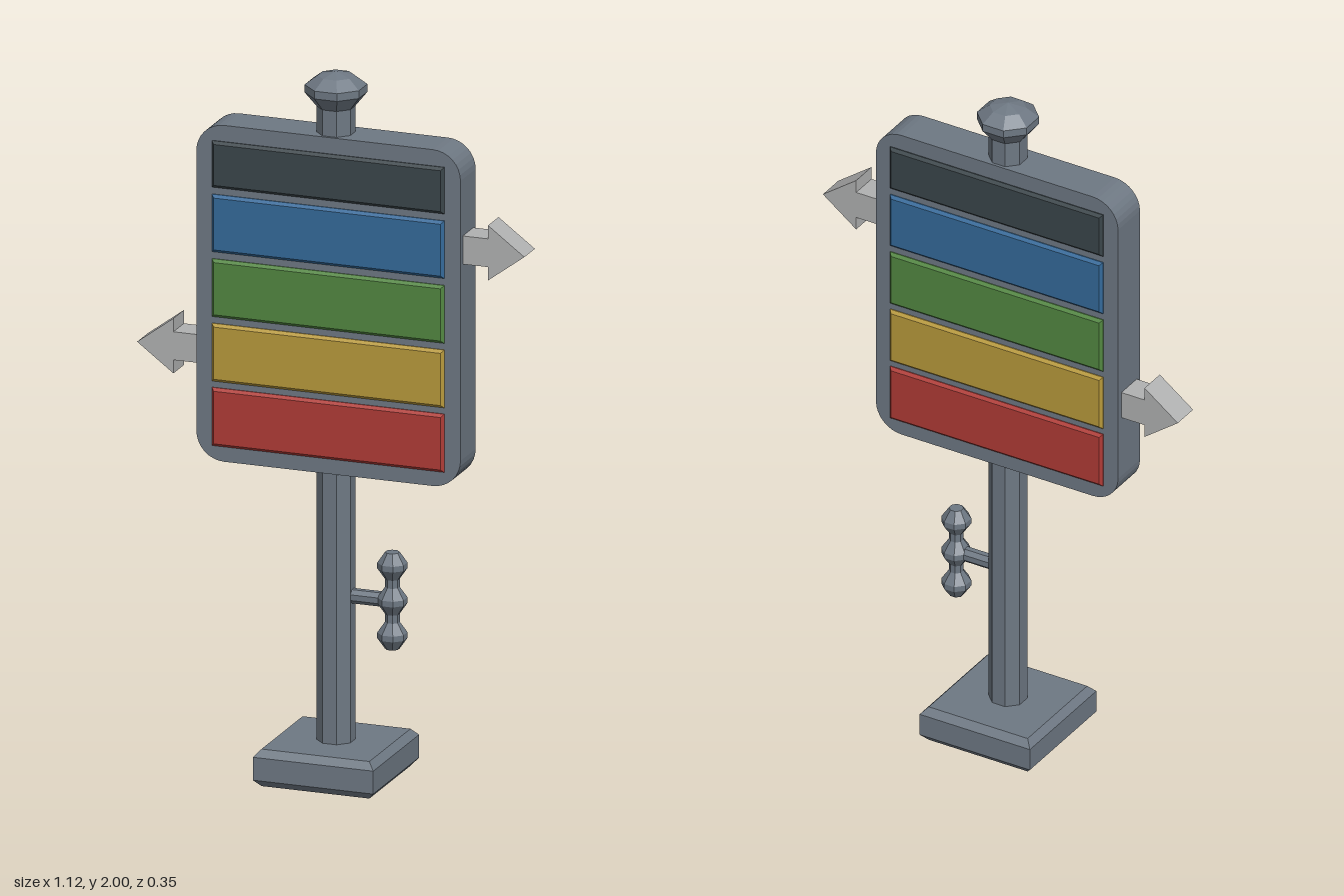
import * as THREE from 'three';

const mat = (name, color) => {
  const m = new THREE.MeshStandardMaterial({ color });
  m.name = name;
  return m;
};

export function createModel() {
  const model = new THREE.Group();
  model.name = 'signPost';
  const metal = mat('slateMetal', 0x6e7883);
  const arrowGrey = mat('lightGrey', 0xb0b1b1);

  const add = (name, geometry, material, x = 0, y = 0, z = 0) => {
    const mesh = new THREE.Mesh(geometry, material);
    mesh.name = name;
    mesh.position.set(x, y, z);
    model.add(mesh);
    return mesh;
  };

  // Faceted eight-sided turned part from [radius, height] pairs
  const turned = (profile) => {
    const points = profile.map(([r, y]) => new THREE.Vector2(r, y));
    const g = new THREE.LatheGeometry(points, 8, Math.PI / 8).toNonIndexed();
    g.computeVertexNormals();
    return g;
  };

  // Shape extruded symmetrically about z = 0, chamfered at both ends
  const slab = (shape, depth, bevel = 0, bevelDepth = bevel) => {
    const g = new THREE.ExtrudeGeometry(shape, {
      depth: depth - 2 * bevelDepth, curveSegments: 4, bevelEnabled: bevel > 0,
      bevelSize: bevel, bevelOffset: -bevel, bevelThickness: bevelDepth, bevelSegments: 1,
    });
    return g.translate(0, 0, -depth / 2 + bevelDepth);
  };
  const polygon = (points) => new THREE.Shape(points.map(([x, y]) => new THREE.Vector2(x, y)));
  const rect = (w, h) => polygon([[-w / 2, -h / 2], [w / 2, -h / 2], [w / 2, h / 2], [-w / 2, h / 2]]);

  // Chamfered square foot
  add('base', slab(rect(0.348, 0.348), 0.105, 0.018, 0.02).rotateX(-Math.PI / 2), metal, 0, 0.0525);

  // Octagonal post and its finial
  add('post', turned([[0, 0.09], [0.053, 0.09], [0.053, 1.91], [0, 1.91]]), metal);
  add('finial', turned([[0, 1.9], [0.052, 1.9], [0.085, 1.94], [0.085, 1.962], [0.05, 1.988], [0, 2]]), metal);

  // Rounded board
  const w = 0.382, h = 0.477, r = 0.08;
  const outline = new THREE.Shape();
  outline.absarc(w - r, h - r, r, 0, Math.PI / 2);
  outline.absarc(-w + r, h - r, r, Math.PI / 2, Math.PI);
  outline.absarc(-w + r, -h + r, r, Math.PI, Math.PI * 1.5);
  outline.absarc(w - r, -h + r, r, Math.PI * 1.5, Math.PI * 2);
  outline.closePath();
  add('board', slab(outline, 0.115), metal, 0, 1.351);

  // Coloured panels standing proud of both faces
  const panels = [
    ['charcoal', 0x3a454a, 1.65, 1.782],
    ['blue', 0x346a9a, 1.467, 1.63],
    ['green', 0x528741, 1.283, 1.447],
    ['yellow', 0xb8993b, 1.1, 1.264],
    ['red', 0xb03b36, 0.917, 1.082],
  ];
  for (const [name, color, low, high] of panels) {
    add(name + 'Panel', slab(rect(0.672, high - low), 0.136, 0.008), mat(name, color), 0, (low + high) / 2);
  }

  // Side arrows pointing outwards
  const arrow = slab(polygon([
    [0.37, -0.04], [0.455, -0.04], [0.455, -0.078], [0.56, 0],
    [0.455, 0.078], [0.455, 0.04], [0.37, 0.04],
  ]), 0.08);
  add('leftArrow', arrow, arrowGrey, 0, 1.547);
  add('rightArrow', arrow, arrowGrey, 0, 1.18).rotation.z = Math.PI;

  // Beaded handle on a short arm
  const arm = turned([[0.021, 0.04], [0.021, 0.165]]).rotateZ(-Math.PI / 2);
  add('handleArm', arm, metal, 0, 0.517);
  const profile = [[0, 0.38]];
  for (const y of [0.418, 0.517, 0.616]) {
    profile.push([0.02, y - 0.038], [0.041, y - 0.008], [0.041, y + 0.008], [0.02, y + 0.038]);
  }
  profile.push([0, 0.654]);
  add('handle', turned(profile), metal, 0.163);

  return model;
}
